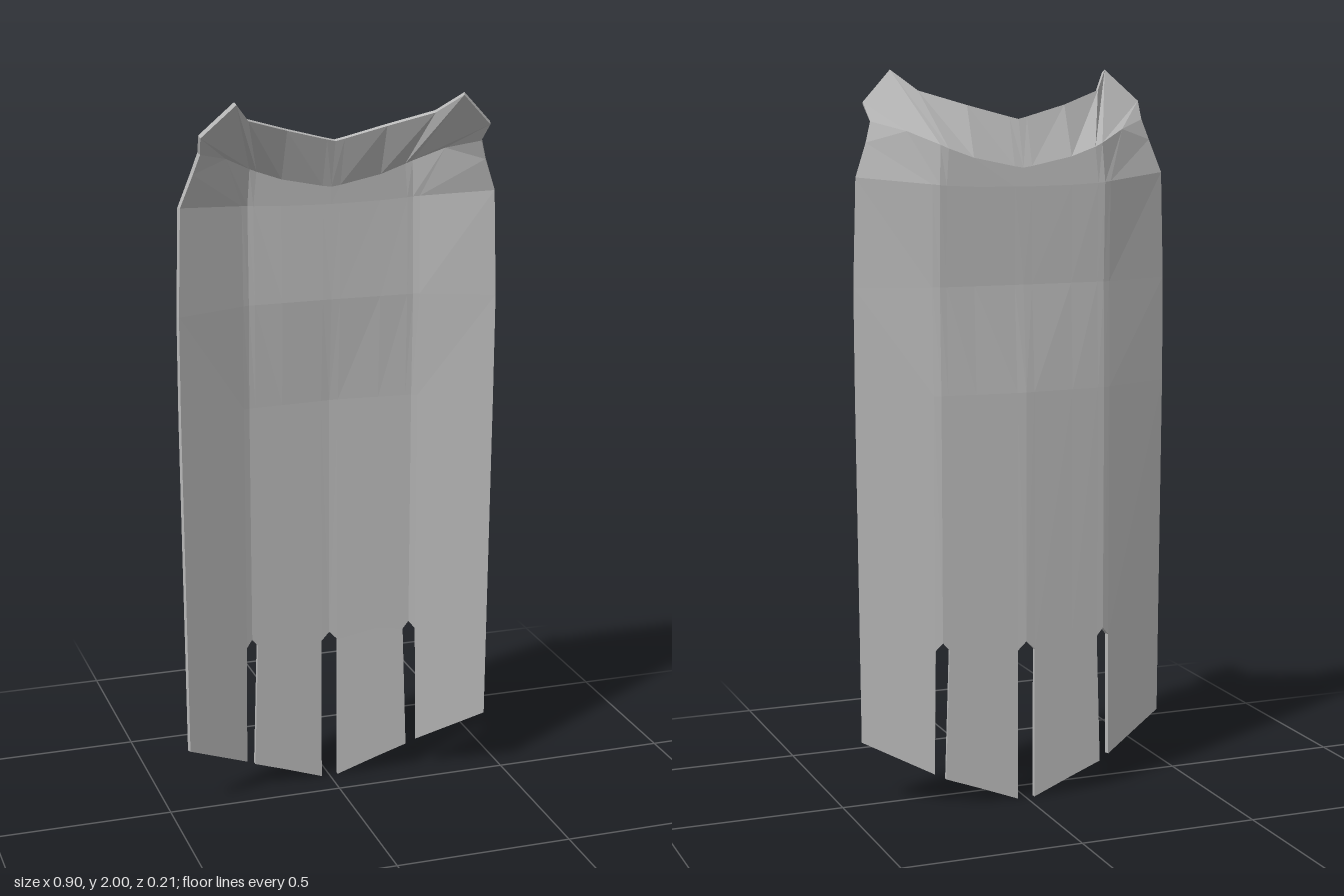
import * as THREE from 'three';

const THICKNESS = 0.012;

// Shallow curved section: centre, shoulder at x = 0.24, outer edge at x = 0.45
function depth(x, centre, shoulder, edge) {
  return x < 0.24
    ? THREE.MathUtils.lerp(centre, shoulder, x / 0.24)
    : THREE.MathUtils.lerp(shoulder, edge, (x - 0.24) / 0.21);
}

// Half row from column positions and heights
function bodyRow(xs, ys, centre, shoulder, edge) {
  return xs.map((x, i) => [x, Array.isArray(ys) ? ys[i] : ys, depth(x, centre, shoulder, edge)]);
}

// Half rows from collar to hem; columns run from the centre to the outer edge.
// Columns 0 and 4 are the slot centres, 1, 3 and 5 the slot sides.
const columns = [0, 0.025, 0.14, 0.218, 0.237, 0.256, 0.447];
const rows = [
  [[0, 1.87, -0.045], [0.025, 1.876, -0.042], [0.14, 1.907, -0.027], [0.26, 1.945, 0.022],
    [0.313, 2.0, 0.097], [0.40, 1.915, 0.065], [0.393, 1.865, 0.025]],
  [[0, 1.742, -0.081], [0.025, 1.746, -0.081], [0.14, 1.77, -0.08], [0.21, 1.795, -0.079],
    [0.232, 1.805, -0.075], [0.31, 1.84, -0.03], [0.41, 1.81, 0.012]],
  bodyRow([0, 0.025, 0.14, 0.218, 0.237, 0.256, 0.443],
    [1.692, 1.692, 1.694, 1.698, 1.70, 1.702, 1.72], -0.084, -0.084, 0.003),
  bodyRow([0, 0.025, 0.14, 0.218, 0.237, 0.256, 0.452], 1.43, -0.082, -0.078, 0),
  bodyRow([0, 0.025, 0.14, 0.218, 0.237, 0.256, 0.452], 1.14, -0.104, -0.086, -0.003),
  bodyRow(columns, [0.45, 0.425, 0.45, 0.44, 0.462, 0.44, 0.48], -0.107, -0.088, -0.003),
  bodyRow([0, 0.025, 0.14, 0.23, 0.245, 0.26, 0.445],
    [0, 0.002, 0.045, 0.077, 0.085, 0.092, 0.182], -0.107, -0.088, -0.003),
];

function createPlate() {
  // Mirror each half row into a full row of 13 points
  const points = [];
  for (const row of rows) {
    for (let j = -6; j <= 6; j++) {
      const [x, y, z] = row[Math.abs(j)];
      points.push(new THREE.Vector3(j < 0 ? -x : x, y, z));
    }
  }

  // Triangulate the sheet, leaving the three slots open in the hem band
  const faces = [];
  for (let i = 0; i < rows.length - 1; i++) {
    for (let j = 0; j < 12; j++) {
      const c0 = Math.abs(j - 6), c1 = Math.abs(j - 5);
      const isSlot = [c0, c1].some((c) => c === 0 || c === 4);
      if (i === rows.length - 2 && isSlot) continue;
      const a = i * 13 + j, b = a + 1, d = a + 13, c = d + 1;
      if (j < 6) faces.push([a, d, c], [a, c, b]);
      else faces.push([a, d, b], [b, d, c]);
    }
  }

  // Offset the front surface along the sheet normals
  const sheet = new THREE.BufferGeometry().setFromPoints(points);
  sheet.setIndex(faces.flat());
  sheet.computeVertexNormals();
  const normals = sheet.getAttribute('normal');
  const front = points.map((p, i) =>
    p.clone().addScaledVector(new THREE.Vector3().fromBufferAttribute(normals, i), THICKNESS));

  // Front, back and rim walls along every unshared edge
  const out = [];
  const edges = new Set();
  for (const [a, b, c] of faces) {
    out.push(front[a], front[b], front[c], points[c], points[b], points[a]);
    for (const [p, q] of [[a, b], [b, c], [c, a]]) edges.add(p + '_' + q);
  }
  for (const edge of edges) {
    const [p, q] = edge.split('_').map(Number);
    if (edges.has(q + '_' + p)) continue;
    out.push(front[q], front[p], points[p], front[q], points[p], points[q]);
  }
  const geometry = new THREE.BufferGeometry().setFromPoints(out);
  geometry.computeVertexNormals(); // unshared corners give flat facets

  // Stand on the ground and centre in depth
  geometry.computeBoundingBox();
  const { min, max } = geometry.boundingBox;
  geometry.translate(0, -min.y, -(min.z + max.z) / 2);
  return geometry;
}

export function createModel() {
  const grey = new THREE.MeshStandardMaterial({ color: 0xb8b8b8 });
  grey.name = 'light grey';
  const plate = new THREE.Mesh(createPlate(), grey);
  plate.name = 'slottedBackPlate';
  const group = new THREE.Group();
  group.name = 'curvedPlate';
  group.add(plate);
  return group;
}
